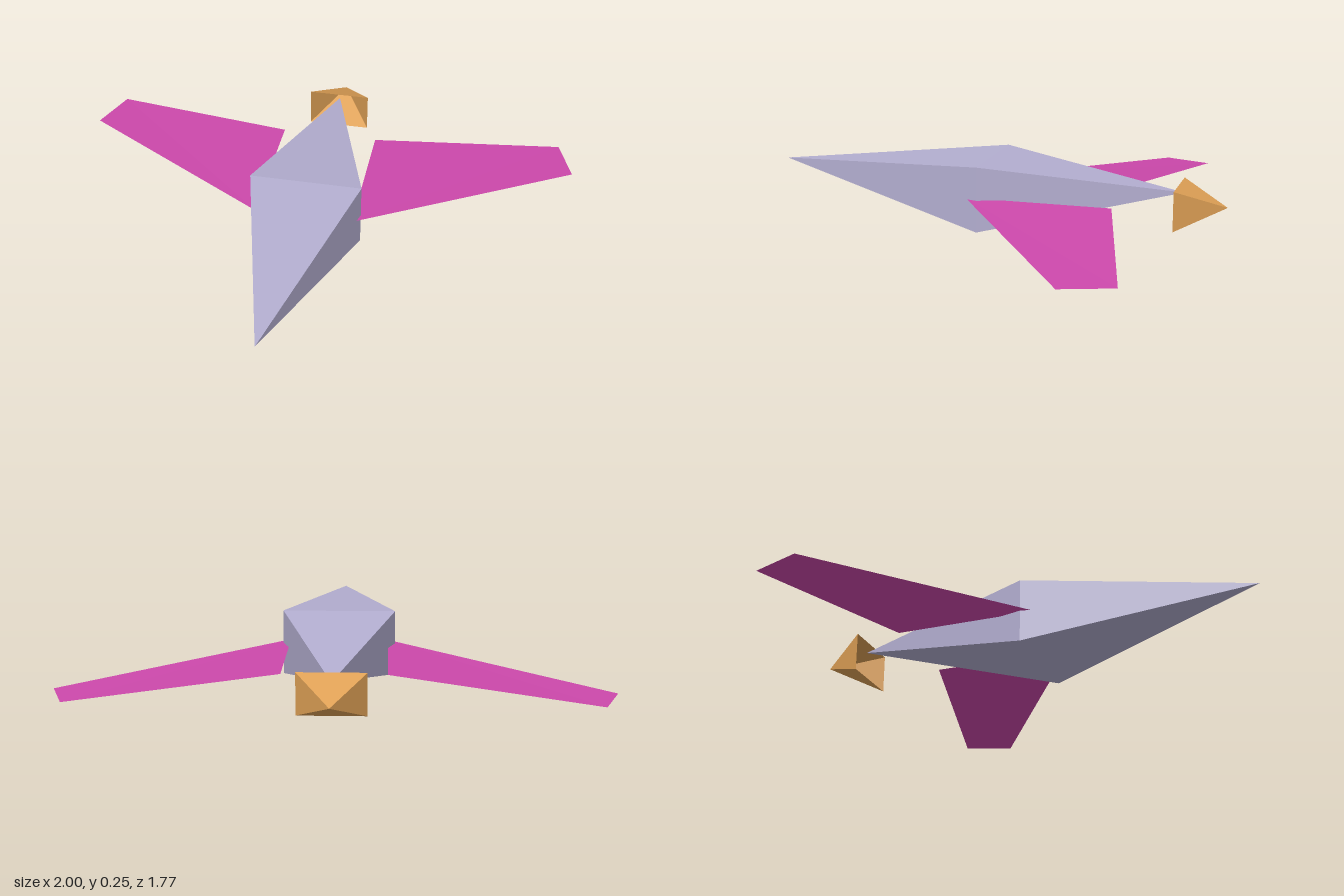
import * as THREE from 'three';

const bodyGrey = new THREE.MeshStandardMaterial({ color: 0xb3aed0 });
const wingMagenta = new THREE.MeshStandardMaterial({ color: 0xcc48ab, side: THREE.DoubleSide });
const exhaustOrange = new THREE.MeshStandardMaterial({ color: 0xdea055, side: THREE.DoubleSide });

// Open four-sided pyramid lying along z: rectangular base, apex at (0, apexY, apexZ)
function pyramid(width, height, baseY, baseZ, apexY, apexZ) {
  const length = Math.abs(apexZ - baseZ);
  let g = new THREE.ConeGeometry(Math.SQRT1_2, 1, 4, 1, true);
  g.rotateY(Math.PI / 4);
  g.translate(0, 0.5, 0);
  g.rotateX(apexZ > baseZ ? Math.PI / 2 : -Math.PI / 2);
  g.scale(width, height, length);
  g.translate(0, baseY, baseZ);
  // Shear so that the apex reaches its own height
  const p = g.attributes.position;
  for (let i = 0; i < p.count; i++) {
    const t = (p.getZ(i) - baseZ) / (apexZ - baseZ);
    p.setY(i, p.getY(i) + t * (apexY - baseY));
  }
  g = g.toNonIndexed();
  g.computeVertexNormals();
  return g;
}

// Thin swept wing; side is +1 for left, -1 for right
function wing(side) {
  const corners = [
    [0.19, 0.125, 0.07],
    [1.0, 0.065, -0.49],
    [0.935, 0.065, -0.675],
    [0.19, 0.125, -0.49],
  ];
  const order = side > 0 ? [0, 1, 2, 0, 2, 3] : [0, 2, 1, 0, 3, 2];
  const g = new THREE.BufferGeometry().setFromPoints(
    order.map((i) => new THREE.Vector3(side * corners[i][0], corners[i][1], corners[i][2])));
  g.computeVertexNormals();
  return g;
}

export function createModel() {
  const model = new THREE.Group();
  model.name = 'glider';
  const add = (name, geometry, material, parent = model) => {
    const mesh = new THREE.Mesh(geometry, material);
    mesh.name = name;
    parent.add(mesh);
  };

  // Fuselage: two pyramids sharing the widest cross-section
  const fuselage = new THREE.Group();
  fuselage.name = 'fuselage';
  model.add(fuselage);
  add('nose', pyramid(0.432, 0.25, 0.125, 0.02, 0.188, 0.885), bodyGrey, fuselage);
  add('tail', pyramid(0.432, 0.25, 0.125, 0.02, 0.157, -0.725), bodyGrey, fuselage);

  // Wings
  add('leftWing', wing(1), wingMagenta);
  add('rightWing', wing(-1), wingMagenta);

  // Hollow exhaust cone behind the tail
  add('exhaust', pyramid(0.245, 0.152, 0.11, -0.705, 0.11, -0.888), exhaustOrange);
  return model;
}
